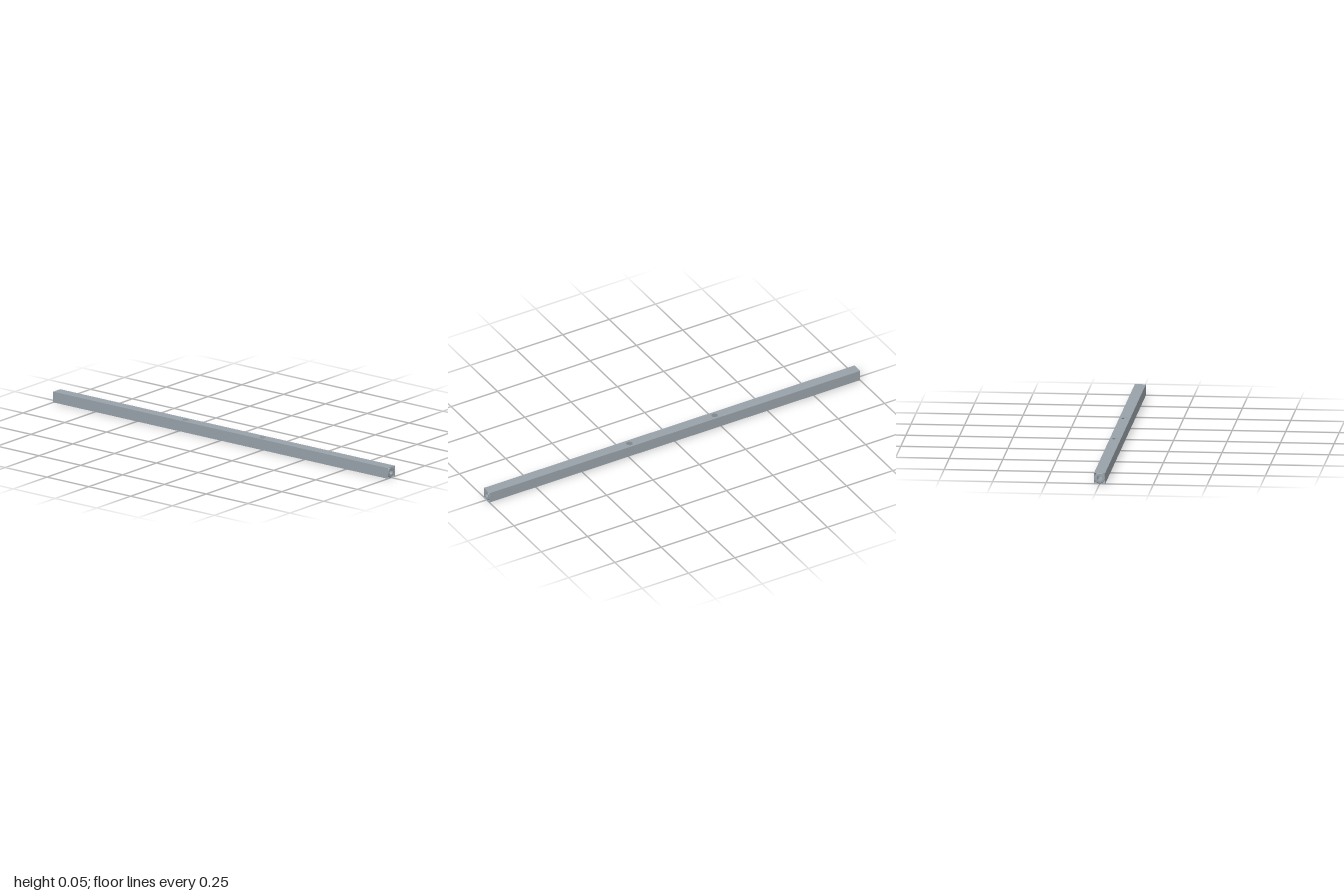
import * as THREE from 'three';

const LENGTH = 2, SIDE = 0.052, HALF = SIDE / 2, THICKNESS = 0.001;
const material = new THREE.MeshStandardMaterial({ color: 0x98a1a9, side: THREE.DoubleSide });

// Thin sheet wall lying in the xy plane, with optional round holes
function wall(holeXs) {
  const shape = new THREE.Shape();
  shape.moveTo(-LENGTH / 2, -HALF);
  shape.lineTo(LENGTH / 2, -HALF);
  shape.lineTo(LENGTH / 2, HALF);
  shape.lineTo(-LENGTH / 2, HALF);
  shape.closePath();
  for (const x of holeXs) {
    shape.holes.push(new THREE.Path().absarc(x, 0, 0.015, 0, Math.PI * 2, true));
  }
  return new THREE.ExtrudeGeometry(shape, { depth: THICKNESS, bevelEnabled: false, curveSegments: 24 });
}

export function createModel() {
  const group = new THREE.Group();

  // Square tube, open at both ends; top and bottom are drilled through
  const tube = new THREE.Group();
  tube.name = 'squareTube';
  ['frontWall', 'topWall', 'backWall', 'bottomWall'].forEach((name, i) => {
    const geometry = wall(i % 2 ? [-0.23, 0.23] : []);
    geometry.translate(0, 0, HALF - THICKNESS).rotateX(-i * Math.PI / 2);
    const mesh = new THREE.Mesh(geometry, material);
    mesh.name = name;
    tube.add(mesh);
  });
  tube.position.y = HALF;
  group.add(tube);

  // Round bored insert with a chamfered rim in each end
  const profile = [[0.012, 0], [0.012, 0.1], [0.022, 0.1], [0.025, 0.097], [0.025, 0], [0.012, 0]]
    .map(([r, y]) => new THREE.Vector2(r, y));
  for (const side of [-1, 1]) {
    // Separate bands keep the edges between faces sharp
    const insert = new THREE.Group();
    insert.name = side > 0 ? 'leftInsert' : 'rightInsert';
    for (let i = 0; i < profile.length - 1; i++) {
      const band = new THREE.Mesh(new THREE.LatheGeometry([profile[i], profile[i + 1]], 32), material);
      band.name = 'insertBand';
      insert.add(band);
    }
    insert.rotation.z = -side * Math.PI / 2;
    insert.position.set(side * (LENGTH / 2 - 0.1), HALF, 0);
    group.add(insert);
  }
  return group;
}
